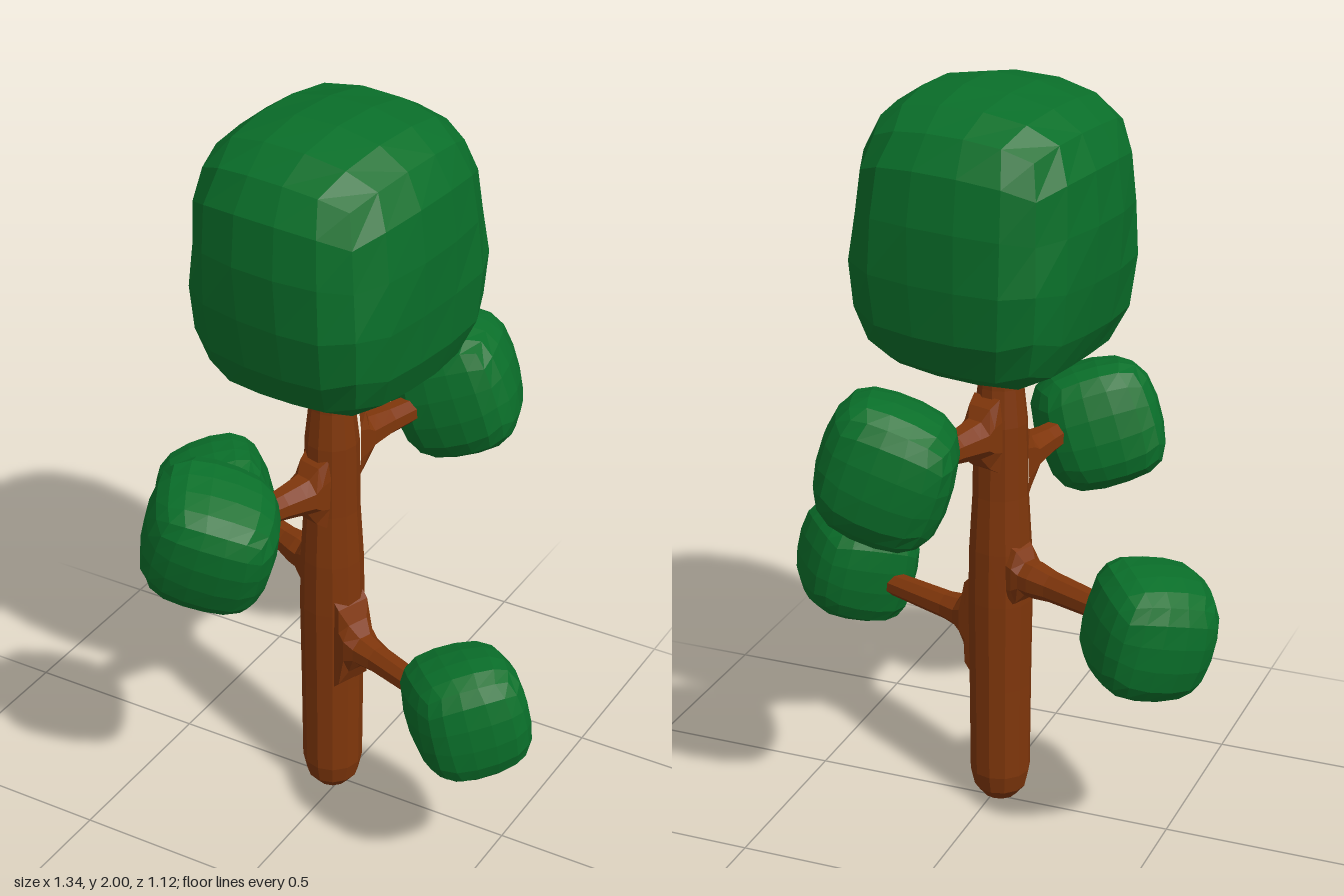
import * as THREE from 'three';

const leaf = new THREE.MeshStandardMaterial({ color: 0x0a6f2a });
leaf.name = 'leaf green';
const bark = new THREE.MeshStandardMaterial({ color: 0x7f360b });
bark.name = 'bark brown';

// Separate the faces so each one gets its own flat normal
function facet(geometry) {
  const g = geometry.toNonIndexed();
  g.computeVertexNormals();
  return g;
}

// Rounded, slightly uneven block of leaves that fills the box from min to max.
// A higher power gives squarer corners, set for the upper and the lower half.
function foliage(name, min, max, rotation, topPower, bottomPower, taper = 0) {
  const g = new THREE.BoxGeometry(2, 2, 2, 5, 5, 5);
  const pos = g.attributes.position;
  const v = new THREE.Vector3();
  for (let i = 0; i < pos.count; i++) {
    v.fromBufferAttribute(pos, i);
    const p = v.y > 0 ? topPower : bottomPower;
    const wobble = 1 + 0.01 * Math.sin(v.x * 2.1 + v.y * 2.7 + v.z * 3.3 + min[0] * 9);
    const norm = Math.pow(Math.abs(v.x) ** p + Math.abs(v.y) ** p + Math.abs(v.z) ** p, 1 / p);
    v.multiplyScalar(wobble / norm);
    const widen = 1 + taper * v.y;
    pos.setXYZ(i, v.x * widen, v.y, v.z * widen);
  }
  g.applyMatrix4(new THREE.Matrix4().makeRotationFromEuler(new THREE.Euler(...rotation, 'ZYX')));
  g.computeBoundingBox();
  const lo = new THREE.Vector3(...min), hi = new THREE.Vector3(...max);
  const scale = hi.clone().sub(lo).divide(g.boundingBox.getSize(new THREE.Vector3()));
  const from = g.boundingBox.min.clone();
  g.translate(-from.x, -from.y, -from.z);
  g.scale(scale.x, scale.y, scale.z);
  g.translate(lo.x, lo.y, lo.z);
  const mesh = new THREE.Mesh(facet(g), leaf);
  mesh.name = name;
  return mesh;
}

// Branch along a line, flared up and down where it leaves the trunk, with a closed tip
function branch(name, start, end, flare, tip) {
  const a = new THREE.Vector3(...start), b = new THREE.Vector3(...end);
  const length = a.distanceTo(b);
  const profile = [
    [flare, 0.055], [flare * 0.8, 0.085], [flare * 0.5, 0.105], [tip * 1.45, 0.135],
    [tip * 1.2, 0.19], [tip, length - 0.01], [tip * 0.8, length], [0, length],
  ].map(([r, y]) => new THREE.Vector2(r, y));
  const g = new THREE.LatheGeometry(profile, 8);
  g.rotateY(Math.PI / 8);
  // Keep the flare narrower than the trunk
  const pos = g.attributes.position;
  for (let i = 0; i < pos.count; i++) {
    pos.setX(i, THREE.MathUtils.clamp(pos.getX(i), -0.05, 0.05));
  }
  const along = b.clone().sub(a).normalize();
  const side = new THREE.Vector3().crossVectors(along, new THREE.Vector3(0, 1, 0)).normalize();
  const up = new THREE.Vector3().crossVectors(side, along);
  g.applyMatrix4(new THREE.Matrix4().makeBasis(side, along, up));
  g.translate(a.x, a.y, a.z);
  const mesh = new THREE.Mesh(facet(g), bark);
  mesh.name = name;
  return mesh;
}

export function createModel() {
  const tree = new THREE.Group();
  tree.name = 'tree';

  // Trunk with a rounded foot, narrowing toward the crown
  const trunkProfile = [
    [0, 0], [0.045, 0.01], [0.07, 0.04], [0.081, 0.09], [0.083, 0.35], [0.086, 0.6],
    [0.083, 0.75], [0.074, 0.9], [0.071, 1.1], [0.06, 1.2], [0.056, 1.35], [0, 1.35],
  ].map(([r, y]) => new THREE.Vector2(r, y));
  const trunkGeometry = new THREE.LatheGeometry(trunkProfile, 12);
  trunkGeometry.translate(-0.02, 0, 0.012);
  const trunk = new THREE.Mesh(facet(trunkGeometry), bark);
  trunk.name = 'trunk';
  tree.add(trunk);

  // Branches
  tree.add(
    branch('leftBranch', [-0.02, 0.51, 0.012], [0.38, 0.51, 0.16], 0.16, 0.032),
    branch('rightBranch', [-0.02, 0.69, 0.012], [-0.37, 0.685, -0.135], 0.10, 0.034),
    branch('frontBranch', [-0.02, 0.97, 0.012], [-0.1, 0.985, 0.3], 0.11, 0.034),
    branch('backBranch', [-0.02, 1.08, 0.012], [0.08, 1.08, -0.3], 0.11, 0.034),
  );

  // Leaf clusters
  tree.add(
    foliage('crown', [-0.345, 1.26, -0.37], [0.30, 2.0, 0.33], [0.02, -0.12, 0.02], 2.9, 3.7, 0.04),
    foliage('leftLeaves', [0.30, 0.37, 0.045], [0.665, 0.715, 0.355], [0.1, 0.7, 0.3], 3, 3),
    foliage('rightLeaves', [-0.67, 0.49, -0.345], [-0.31, 0.84, 0.035], [0.1, 0.7, 0.3], 3, 3),
    foliage('frontLeaves', [-0.35, 0.78, 0.22], [0.045, 1.16, 0.56], [0.1, 0.45, -0.3], 3, 3),
    foliage('backLeaves', [-0.07, 0.90, -0.56], [0.315, 1.30, -0.23], [0.12, 0.25, 0.35], 3, 3),
  );
  return tree;
}
